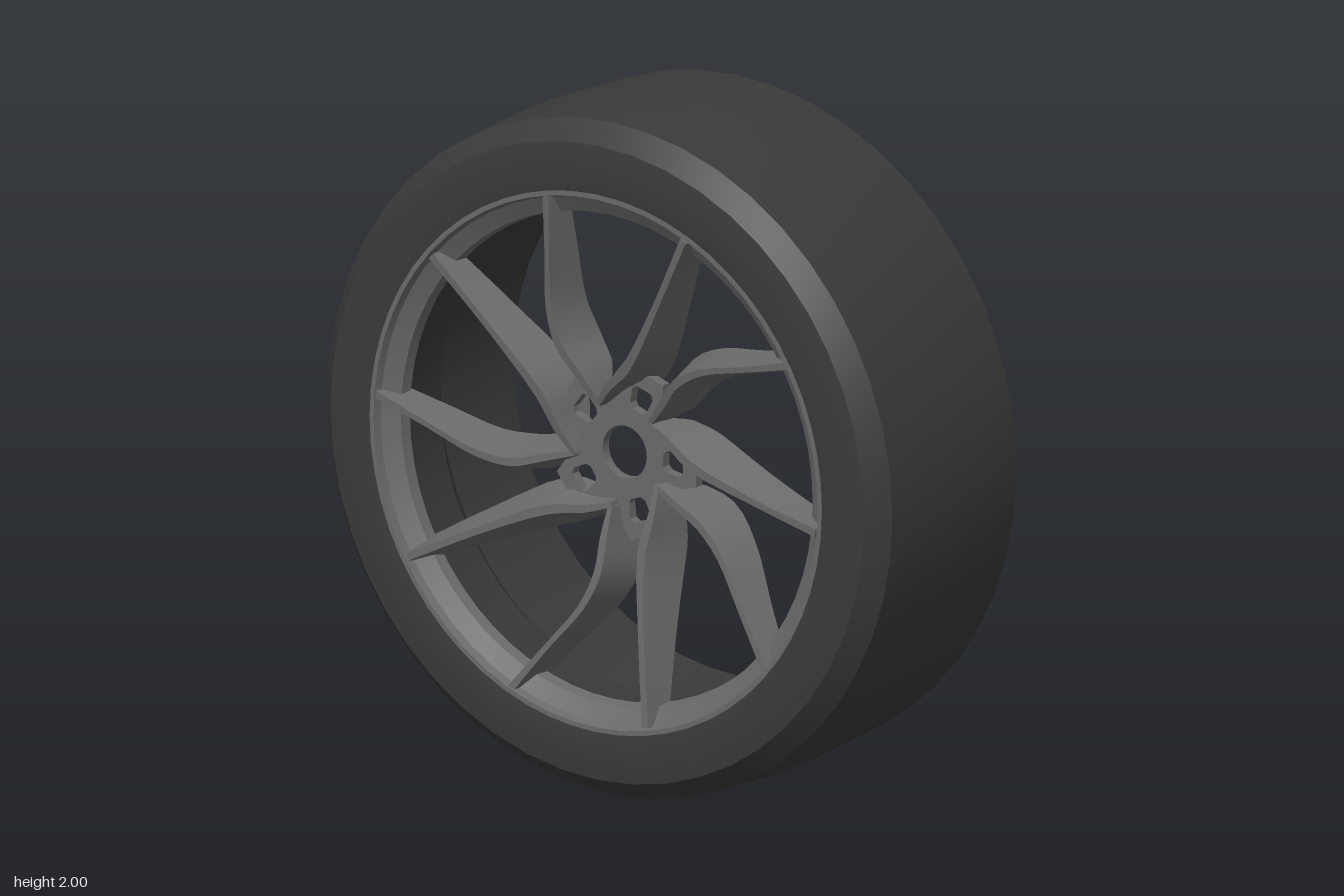
import * as THREE from 'three';
import { toCreasedNormals } from 'three/addons/utils/BufferGeometryUtils.js';

const rubber = new THREE.MeshStandardMaterial({ color: 0x3a3a3a });
rubber.name = 'dark rubber';
const alloy = new THREE.MeshStandardMaterial({ color: 0x696969 });
alloy.name = 'grey alloy';

const STEP = (Math.PI * 2) / 5;

function part(name, geometry, material) {
  const mesh = new THREE.Mesh(geometry, material);
  mesh.name = name;
  return mesh;
}

// Closed ring turned about the z axis from [radius, z] points
function ring(profile, segments, crease) {
  const points = [...profile, profile[0]].map(([r, z]) => new THREE.Vector2(r, z));
  return toCreasedNormals(new THREE.LatheGeometry(points, segments).rotateX(Math.PI / 2), crease);
}

// Tapered spoke lofted through stations [x, y, frontZ, frontWidth, backWidth, backZ], rim to hub
function spoke(stations, steps) {
  const path = new THREE.CatmullRomCurve3(stations.map(([x, y, z]) => new THREE.Vector3(x, y, z)));
  const size = new THREE.CatmullRomCurve3(stations.map((s) => new THREE.Vector3(s[3], s[4], s[5])));
  const positions = [];
  const index = [];
  for (let i = 0; i <= steps; i++) {
    const t = i / steps;
    const c = path.getPoint(t);
    const s = size.getPoint(t);
    const d = path.getTangent(t).setZ(0).normalize();
    const corner = (w, z) => positions.push(c.x - d.y * w, c.y + d.x * w, z);
    corner(s.y / 2, s.z);
    corner(s.x / 2, c.z);
    corner(-s.x / 2, c.z);
    corner(-s.y / 2, s.z);
    if (i === steps) break;
    for (let j = 0; j < 4; j++) {
      const a = i * 4 + j;
      const b = i * 4 + ((j + 1) % 4);
      index.push(a, b, a + 4, b, b + 4, a + 4);
    }
  }
  const e = steps * 4;
  index.push(0, 3, 2, 0, 2, 1, e, e + 1, e + 2, e, e + 2, e + 3);
  const geometry = new THREE.BufferGeometry();
  geometry.setAttribute('position', new THREE.Float32BufferAttribute(positions, 3));
  geometry.setIndex(index);
  return toCreasedNormals(geometry, 0.5);
}

// Thin five-lobed hub plate with a centre bore and lug holes
function hub() {
  const outline = [];
  const holes = [new THREE.Path().absarc(0, 0, 0.077, 0, Math.PI * 2, true)];
  for (let k = 0; k < 5; k++) {
    const a = THREE.MathUtils.degToRad(71) + k * STEP;
    const at = (r, t) =>
      new THREE.Vector2(r * Math.cos(a) - t * Math.sin(a), r * Math.sin(a) + t * Math.cos(a));
    outline.push(at(0.16, -0.085), at(0.25, -0.055), at(0.25, 0.055), at(0.16, 0.085));
    holes.push(new THREE.Path([
      at(0.134, -0.018), at(0.146, -0.03), at(0.19, -0.038), at(0.204, -0.026),
      at(0.204, 0.026), at(0.19, 0.038), at(0.146, 0.03), at(0.134, 0.018),
    ].reverse()));
  }
  const shape = new THREE.Shape(outline);
  shape.holes = holes;
  return new THREE.ExtrudeGeometry(shape, { depth: 0.03, bevelEnabled: false, curveSegments: 24 })
    .translate(0, 0, 0.17);
}

export function createModel() {
  const wheel = new THREE.Group();
  wheel.name = 'wheel';
  wheel.position.y = 1;

  // Tyre with a hollow barrel that steps inwards behind the rim
  wheel.add(part('tyre', ring([
    [0.725, 0.25], [0.745, 0.065], [0.79, 0], [0.79, -0.345], [0.98, -0.325], [1, 0],
    [0.985, 0.27], [0.93, 0.33], [0.84, 0.343], [0.785, 0.335], [0.785, 0.25],
  ], 48, 0.45), rubber));

  // Rim with a thin lip and a sloping inner face
  wheel.add(part('rim', ring([
    [0.72, 0.24], [0.788, 0.24], [0.788, 0.338], [0.774, 0.338], [0.766, 0.315],
    [0.718, 0.285], [0.712, 0.25],
  ], 60, 0.4), alloy));

  wheel.add(part('hub', hub(), alloy));

  // Five V pairs, each a curved and a straight spoke meeting at the hub
  const curved = spoke([
    [-0.177, 0.762, 0.335, 0.022, 0.05, 0.26],
    [-0.187, 0.57, 0.315, 0.016, 0.066, 0.21],
    [-0.196, 0.41, 0.295, 0.02, 0.085, 0.17],
    [-0.172, 0.3, 0.28, 0.024, 0.1, 0.145],
    [-0.12, 0.22, 0.26, 0.022, 0.085, 0.145],
    [-0.07, 0.14, 0.235, 0.014, 0.02, 0.19],
  ], 15);
  const straight = spoke([
    [0.302, 0.704, 0.335, 0.022, 0.055, 0.26],
    [0.18, 0.475, 0.305, 0.02, 0.098, 0.2],
    [0.06, 0.275, 0.275, 0.028, 0.13, 0.145],
    [-0.018, 0.2, 0.255, 0.022, 0.08, 0.145],
    [-0.07, 0.135, 0.235, 0.014, 0.02, 0.19],
  ], 12);
  for (let k = 0; k < 5; k++) {
    const pair = new THREE.Group();
    pair.name = 'spokePair';
    pair.add(part('curvedSpoke', curved, alloy), part('straightSpoke', straight, alloy));
    pair.rotation.z = k * STEP;
    wheel.add(pair);
  }

  const model = new THREE.Group();
  model.name = 'model';
  model.add(wheel);
  return model;
}
